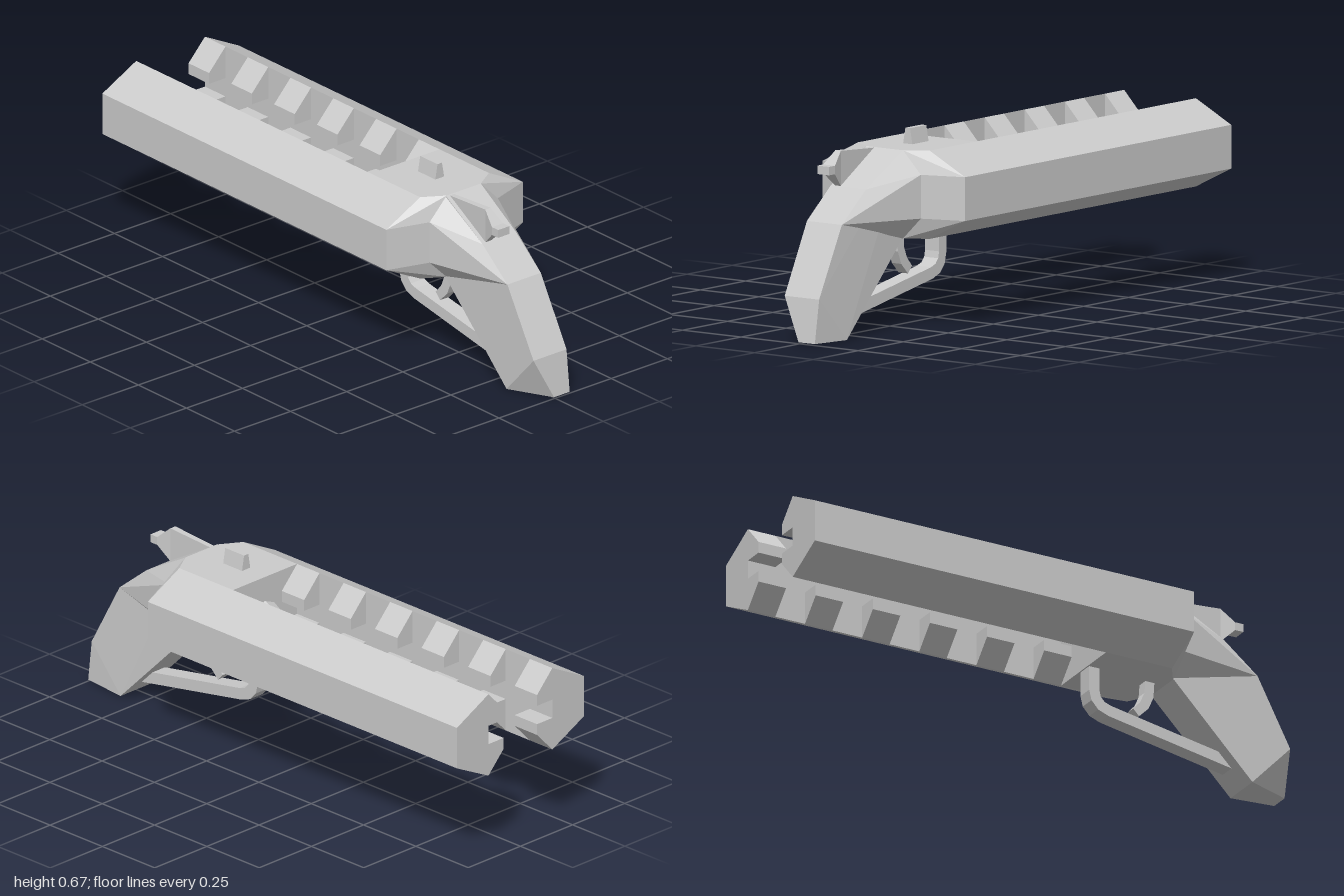
import * as THREE from 'three';
import { ConvexGeometry } from 'three/addons/geometries/ConvexGeometry.js';

export function createModel() {
  const model = new THREE.Group();
  const material = new THREE.MeshStandardMaterial({ color: 0xcccccc, flatShading: true });

  const add = (name, geometry) => {
    const mesh = new THREE.Mesh(geometry, material);
    mesh.name = name;
    model.add(mesh);
    return mesh;
  };
  const shapeOf = (pts) => new THREE.Shape(pts.map(([a, b]) => new THREE.Vector2(a, b)));
  // Cross-section in x, y swept along z
  const alongZ = (pts, z0, z1) =>
    new THREE.ExtrudeGeometry(shapeOf(pts), { depth: z1 - z0, bevelEnabled: false }).translate(0, 0, z0);
  // Side outline in z, y given a thickness across x
  const acrossX = (pts, width, x = 0) =>
    new THREE.ExtrudeGeometry(shapeOf(pts), { depth: width, bevelEnabled: false })
      .translate(0, 0, -width / 2).rotateY(-Math.PI / 2).translate(x, 0, 0);
  const hull = (pts) => new ConvexGeometry(pts.map((p) => new THREE.Vector3(...p)));
  // Eight-sided ring: inner half width, outer half width, z
  const ring = (inner, outer, z) => [-1, 1].flatMap((s) => [
    [s * inner, 0.612, z], [s * outer, 0.535, z], [s * outer, 0.385, z], [s * inner, 0.31, z],
  ]);

  // Breech block with its tapered rear
  add('breech', hull([...ring(0.153, 0.304, 0.22), ...ring(0.153, 0.304, 0.477), ...ring(0.076, 0.152, 0.525)]));

  // Two parallel rails with rows of upper and lower teeth
  const rail = [[0.153, 0.612], [0.304, 0.535], [0.304, 0.385], [0.153, 0.31]];
  const upperTooth = [[0.153, 0.612], [0.08, 0.535], [0.08, 0.495], [0.153, 0.495]];
  const lowerTooth = upperTooth.map(([x, y]) => [x, 0.922 - y]);
  for (const s of [-1, 1]) {
    const side = s > 0 ? 'left' : 'right';
    const mirror = (pts) => pts.map(([x, y]) => [s * x, y]);
    add(side + 'Rail', alongZ(mirror(rail), -1, 0.22));
    for (let i = 0; i < 6; i++) {
      const z = -1 + i * 0.2225;
      add(side + 'UpperTooth', alongZ(mirror(upperTooth), z, z + 0.107));
      add(side + 'LowerTooth', alongZ(mirror(lowerTooth), z, z + 0.107));
    }
  }

  // Tapered emitter at the end of the slot
  const emitter = new THREE.CylinderGeometry(0.02, 0.062, 0.11, 8).rotateX(-Math.PI / 2);
  add('emitter', emitter.translate(0, 0.461, 0.165));

  // Rear sight
  add('sight', alongZ([[-0.021, 0.605], [0.021, 0.605], [0.01, 0.666], [-0.01, 0.666]], 0.31, 0.4));

  // Grip: cheeks blending from the breech, then the raked handle
  const pair = (y, z, l, r) => [[l, y, z], [r, y, z]];
  add('gripCheeks', hull([
    ...ring(0.076, 0.152, 0.525),
    ...pair(0.5, 0.72, -0.083, 0.067), ...pair(0.395, 0.85, -0.084, 0.065),
  ]));
  add('grip', hull([
    ...pair(0.612, 0.525, -0.08, 0.073), ...pair(0.5, 0.72, -0.083, 0.067),
    ...pair(0.395, 0.85, -0.084, 0.065), ...pair(0.155, 0.98, -0.079, 0.068),
    ...pair(0.005, 1, -0.005, 0.065), ...pair(0, 0.835, -0.075, 0.075),
    ...pair(0.31, 0.525, -0.08, 0.073),
  ]));

  // Hammer: thin plate and a flared thumb spur
  const slab = (z, h, y0, y1) => [-1, 1].flatMap((s) => [[-0.055 + s * h, y0, z], [-0.055 + s * h, y1, z]]);
  add('hammer', hull([...slab(0.5, 0.009, 0.48, 0.608), ...slab(0.715, 0.012, 0.5, 0.622)]));
  add('hammerNeck', hull([...slab(0.715, 0.012, 0.5, 0.622), ...slab(0.765, 0.025, 0.549, 0.578)]));
  add('hammerSpur', hull([...slab(0.765, 0.025, 0.549, 0.578), ...slab(0.797, 0.025, 0.549, 0.578)]));

  // Trigger and guard
  add('trigger', acrossX([
    [0.485, 0.32], [0.481, 0.255], [0.462, 0.21], [0.425, 0.173], [0.402, 0.197],
    [0.43, 0.228], [0.446, 0.265], [0.45, 0.32],
  ], 0.04));
  add('triggerGuard', acrossX([
    [0.225, 0.32], [0.225, 0.222], [0.234, 0.185], [0.26, 0.156], [0.3, 0.141], [0.79, 0.054],
    [0.74, 0.105], [0.31, 0.181], [0.285, 0.19], [0.27, 0.207], [0.265, 0.23], [0.265, 0.32],
  ], 0.06));

  return model;
}
